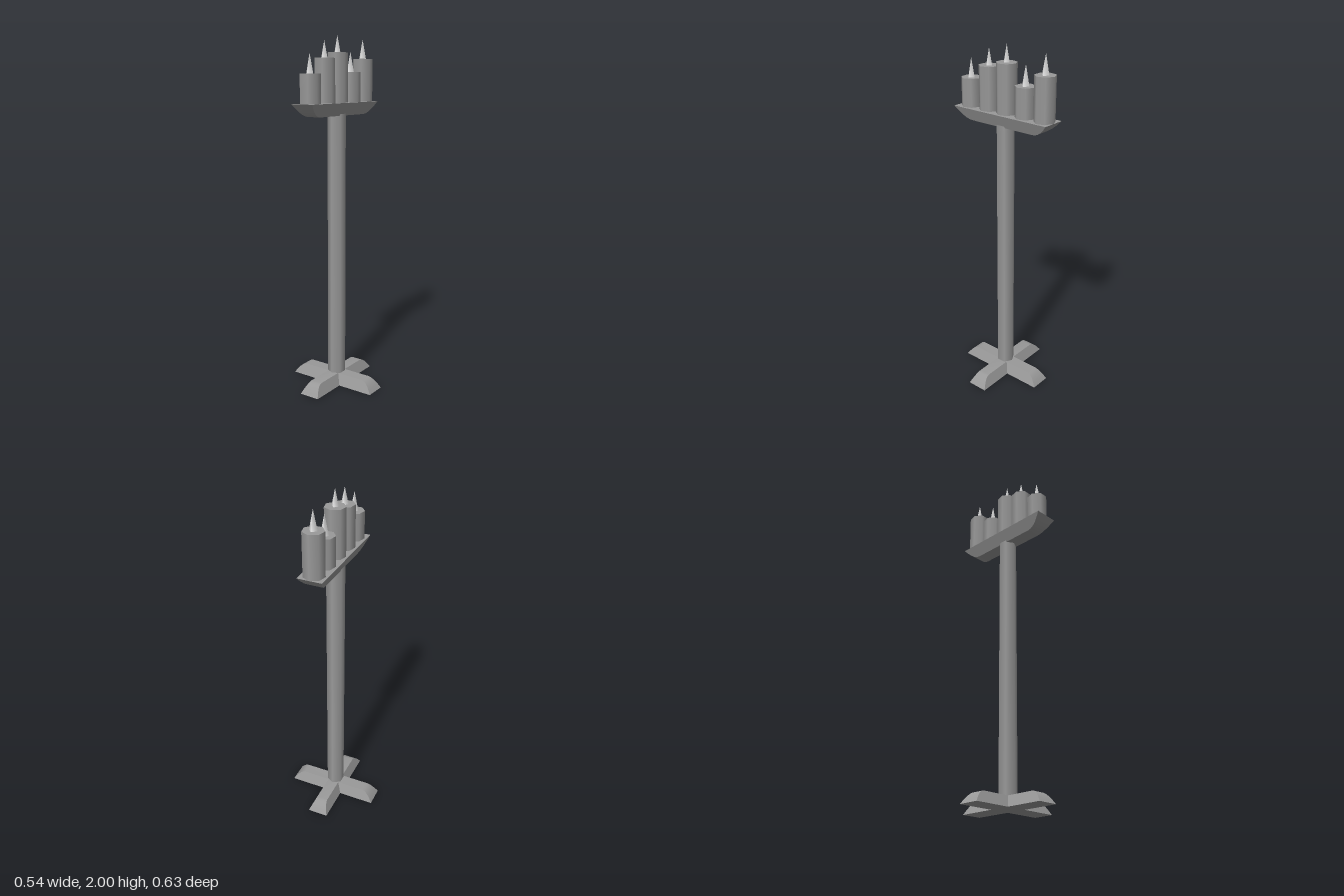
import * as THREE from 'three';
import { toCreasedNormals } from 'three/addons/utils/BufferGeometryUtils.js';

// Bar along x with curved ends; its width tapers from wide (y = 0) to narrow (y = height)
function taperedBar(end, flat, height, wide, narrow) {
  const bend = flat + (end - flat) * 0.45;
  const shape = new THREE.Shape();
  shape.moveTo(-end, 0);
  shape.lineTo(end, 0);
  shape.quadraticCurveTo(bend, height, flat, height);
  shape.lineTo(-flat, height);
  shape.quadraticCurveTo(-bend, height, -end, 0);
  const geometry = new THREE.ExtrudeGeometry(shape, { depth: 1, bevelEnabled: false, curveSegments: 5 });
  const p = geometry.attributes.position;
  for (let i = 0; i < p.count; i++) {
    const half = THREE.MathUtils.lerp(wide, narrow, p.getY(i) / height);
    p.setZ(i, p.getZ(i) > 0.5 ? half : -half);
  }
  return toCreasedNormals(geometry, 0.6);
}

export function createModel() {
  const model = new THREE.Group();
  model.name = 'candleStand';
  const grey = new THREE.MeshStandardMaterial({ color: 0x999999 });
  grey.name = 'grey';
  const pale = new THREE.MeshStandardMaterial({ color: 0xe6e6e6 });
  pale.name = 'paleFlame';

  const add = (name, geometry, material, x = 0, y = 0, z = 0) => {
    const mesh = new THREE.Mesh(geometry, material);
    mesh.name = name;
    mesh.position.set(x, y, z);
    model.add(mesh);
    return mesh;
  };

  // Crossed feet
  const foot = taperedBar(0.272, 0.2, 0.063, 0.06, 0.034);
  add('footSideways', foot, grey);
  add('footFrontToBack', foot, grey).rotation.y = Math.PI / 2;

  // Six-sided pole, its top sunk into the tray
  const poleBottom = 0.06, poleTop = 1.6;
  add('pole', new THREE.CylinderGeometry(0.051, 0.051, poleTop - poleBottom, 6), grey,
    0, (poleTop + poleBottom) / 2, 0.002);

  // Tray: the same kind of bar turned upside down
  const tray = taperedBar(0.313, 0.208, 0.07, 0.069, 0.04);
  tray.rotateX(Math.PI).rotateY(Math.PI / 2);
  const trayTop = 1.638;
  add('tray', tray, grey, 0, trayTop, 0);

  // Candles: z, candle top, flame tip, flame radius
  const candles = [
    [0.243, 1.795, 1.9, 0.023],
    [0.115, 1.876, 1.968, 0.021],
    [-0.005, 1.907, 2.0, 0.02],
    [-0.131, 1.803, 1.915, 0.024],
    [-0.255, 1.877, 1.985, 0.023],
  ];
  candles.forEach(([z, top, tip, radius], i) => {
    const body = new THREE.CylinderGeometry(0.058, 0.058, top - trayTop, 7);
    body.rotateY(Math.PI);
    add(`candle${i + 1}`, body, grey, 0, (top + trayTop) / 2, z);
    add(`flame${i + 1}`, new THREE.ConeGeometry(radius, tip - top, 4), pale, 0, (tip + top) / 2, z);
  });
  return model;
}
